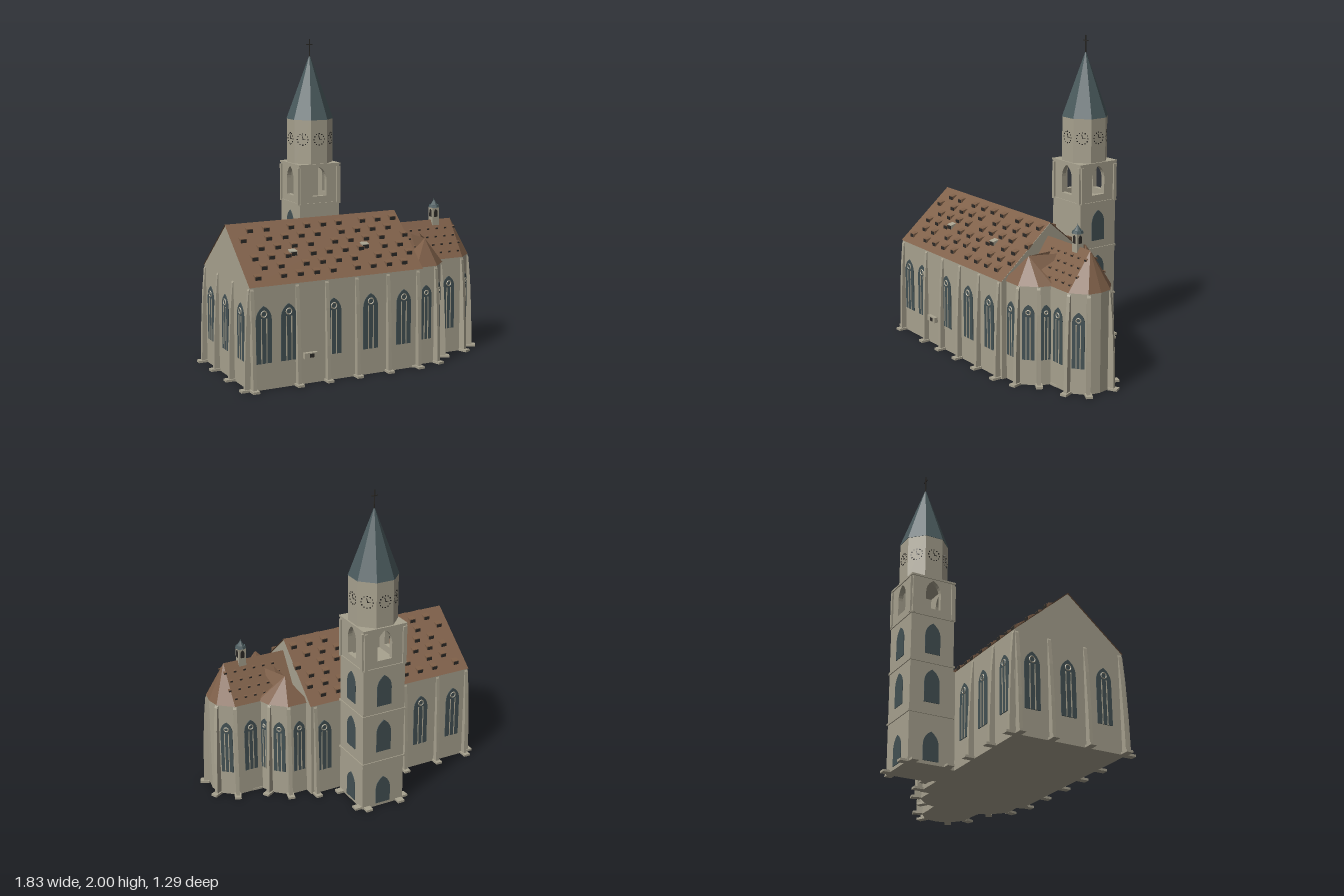
import * as THREE from 'three';

const mat = (name, color) => {
  const m = new THREE.MeshStandardMaterial({ color, flatShading: true, side: THREE.DoubleSide });
  m.name = name;
  return m;
};

export function createModel() {
  const stone = mat('stone', 0xa8a28f), tile = mat('brown tile', 0x7f6049);
  const slate = mat('slate', 0x4a5a5d), dark = mat('dark opening', 0x2b2926);
  const glass = mat('window glass', 0x435154);
  const model = new THREE.Group();
  model.name = 'church';
  const church = new THREE.Group();
  church.name = 'building';
  church.rotation.y = THREE.MathUtils.degToRad(10.5);
  model.add(church);

  const add = (name, geo, material, x = 0, y = 0, z = 0, ang = 0, parent = church) => {
    const m = new THREE.Mesh(geo, material);
    m.name = name;
    m.position.set(x, y, z);
    m.rotation.y = ang;
    parent.add(m);
    return m;
  };
  const group = (name, x, y, z, ang, parent = church) => {
    const g = new THREE.Group();
    g.name = name;
    g.position.set(x, y, z);
    g.rotation.y = ang;
    parent.add(g);
    return g;
  };
  const box = (w, h, d) => new THREE.BoxGeometry(w, h, d);
  const poly = pts => new THREE.Shape(pts.map(p => new THREE.Vector2(...p)));
  const extrude = (shape, depth) => new THREE.ExtrudeGeometry(shape, { depth, bevelEnabled: false, curveSegments: 6 });
  // upright prism over a footprint of [x, z] points
  const prism = (pts, h) => extrude(poly(pts.map(([x, z]) => [x, -z])), h).rotateX(-Math.PI / 2);
  // flat polygons, each a list of [x, y, z] corners
  const faces = list => {
    const v = [];
    for (const f of list) for (let i = 1; i < f.length - 1; i++) v.push(...f[0], ...f[i], ...f[i + 1]);
    const g = new THREE.BufferGeometry();
    g.setAttribute('position', new THREE.Float32BufferAttribute(v, 3));
    g.computeVertexNormals();
    return g;
  };
  const arch = (w, h, y = 0, C = THREE.Shape) => {
    const s = new C();
    s.moveTo(-w / 2, y);
    s.lineTo(w / 2, y);
    s.lineTo(w / 2, y + h - w * 0.85);
    s.quadraticCurveTo(w / 2, y + h - w * 0.3, 0, y + h);
    s.quadraticCurveTo(-w / 2, y + h - w * 0.3, -w / 2, y + h - w * 0.85);
    s.lineTo(-w / 2, y);
    return s;
  };

  // traceried lancet window, facing local +z
  const tracery = (x, z, ang, w = 0.1) => {
    const g = group('window', x, 0.16, z, ang), h = 0.345;
    add('glass', extrude(arch(w, h), 0.005), glass, 0, 0, 0, 0, g);
    for (const s of [-1, 1]) add('mullion', box(0.006, h - 0.075, 0.004), stone, s * w / 6, (h - 0.075) / 2, 0.006, 0, g);
    add('tracery ring', new THREE.TorusGeometry(w * 0.18, 0.004, 4, 12), stone, 0, h - 0.048, 0.006, 0, g);
  };
  // buttress swelling outwards to the foot
  const fin = extrude(poly([[-0.005, 0], [0.036, 0], [0.031, 0.22], [0.02, 0.45], [0.006, 0.6], [-0.005, 0.62]]), 0.022)
    .translate(0, 0, -0.011).rotateY(-Math.PI / 2);
  const buttress = (x, z, ang) => {
    const g = group('buttress', x, 0, z, ang);
    add('fin', fin, stone, 0, 0, 0, 0, g);
    add('foot', box(0.042, 0.014, 0.06), stone, 0, 0.007, 0.03, 0, g);
  };
  // small shed dormer, facing local +z
  const wedge = extrude(poly([[0, -0.004], [0, 0.024], [-0.036, 0.032]]), 0.042).translate(0, 0, -0.021).rotateY(-Math.PI / 2);
  const hatch = box(0.035, 0.02, 0.004);
  const dormer = (x, y, z, ang, scale = 1, body = tile) => {
    const g = group('dormer', x, y, z, ang);
    g.scale.setScalar(scale);
    add('dormer roof', wedge, body, 0, 0, 0, 0, g);
    add('dormer opening', hatch, dark, 0, 0.01, 0.001, 0, g);
  };

  // nave
  const W = -0.82, E = 0.33, mid = 0.085, half = 0.36, eave = 0.62, top = 0.925;
  add('nave', extrude(poly([[-mid - half, 0], [-mid + half, 0], [-mid + half, eave], [-mid, top], [-mid - half, eave]]), E - W)
    .rotateY(Math.PI / 2), stone, W);
  for (const s of [-1, 1]) {
    const ze = mid + s * (half + 0.006);
    add('nave roof', faces([[[W - 0.004, eave, ze], [E + 0.004, eave, ze], [E + 0.004, top + 0.007, mid], [W - 0.004, top + 0.007, mid]]]), tile);
    for (let r = 0; r < 6; r++) for (let c = 0; c < 9; c++) {
      const t = 0.1 + r * 0.148, x = W + 0.09 + c * 0.122 + (r % 2) * 0.05 + ((c * 7 + r * 5) % 4 - 1.5) * 0.014;
      dormer(x, eave + t * 0.31, mid + s * (1 - t) * half + s * 0.003, s > 0 ? 0 : Math.PI);
    }
  }
  for (const x of [-0.47, 0.015]) dormer(x, 0.75, 0.3, 0, 1.1, stone);
  for (const x of [-0.735, -0.575, -0.28, -0.03, 0.2]) tracery(x, mid + half, 0);
  for (const x of [-0.71, -0.465, -0.24, 0.24]) tracery(x, mid - half, Math.PI);
  for (const z of [-0.165, 0.07, 0.31]) tracery(W, z, -Math.PI / 2);
  for (const x of [W + 0.012, -0.52, -0.325, -0.125, 0.09, 0.3]) buttress(x, mid + half, 0);
  for (const x of [W + 0.012, -0.588, -0.345, 0.3]) buttress(x, mid - half, Math.PI);
  for (const z of [mid - half + 0.015, -0.05, 0.19, mid + half - 0.015]) buttress(W, z, -Math.PI / 2);
  add('wall tablet', box(0.085, 0.035, 0.03), stone, -0.44, 0.175, mid + half + 0.01);
  add('tablet opening', box(0.03, 0.022, 0.004), dark, -0.435, 0.175, mid + half + 0.026);

  // choir with polygonal apse
  const cz = 0.1, ridge = 0.85;
  const apse = [[0.33, -0.055], [0.54, -0.055], [0.74, -0.055], [0.83, 0.02], [0.845, 0.1],
    [0.83, 0.18], [0.74, 0.255], [0.54, 0.255], [0.33, 0.255]];
  add('choir', prism(apse, eave), stone);
  const tip = [0.74, ridge, cz];
  const e = apse.map(([x, z]) => [x, eave, cz + (z - cz) * 1.03]);
  const start = [E, ridge, cz];
  add('choir roof', faces([[start, e[0], e[2], tip], [tip, e[2], e[3]], [tip, e[3], e[4]], [tip, e[4], e[5]],
    [tip, e[5], e[6]], [tip, e[6], e[8], start]]), tile);
  for (const s of [-1, 1]) for (let r = 0; r < 4; r++) for (let c = 0; c < 6; c++) {
    const t = 0.15 + r * 0.2;
    dormer(0.4 + c * 0.064 + (r % 2) * 0.025, eave + t * 0.23, cz + s * ((1 - t) * 0.16 + 0.002), s > 0 ? 0 : Math.PI, 0.45);
  }
  // window in the middle of each wall, buttress at each corner
  const dress = (pts, ox, oz, from, to, w) => {
    for (let i = from; i < to; i++) {
      const [a, b] = [pts[i], pts[i + 1]];
      const mx = (a[0] + b[0]) / 2, mz = (a[1] + b[1]) / 2;
      let nx = b[1] - a[1], nz = a[0] - b[0];
      if (nx * (mx - ox) + nz * (mz - oz) < 0) { nx = -nx; nz = -nz; }
      tracery(mx, mz, Math.atan2(nx, nz), Math.min(w, Math.hypot(nx, nz) * 0.65));
    }
    for (let i = from; i <= to; i++) buttress(...pts[i], Math.atan2(pts[i][0] - ox, pts[i][1] - oz));
  };
  dress(apse.filter((p, i) => i !== 4), 0.68, cz, 1, 6, 0.085);

  // side chapels, mirrored about the choir axis
  for (const s of [-1, 1]) {
    const pts = [[0.31, 0.31], [0.45, 0.31], [0.54, 0.225], [0.57, 0.14]].map(([x, d]) => [x, cz + s * d]);
    const foot = [...pts, [0.57, cz + s * 0.12], [0.31, cz + s * 0.12]];
    add('side chapel', prism(foot, eave), stone);
    const peak = [0.425, 0.78, cz + s * 0.215];
    const ee = foot.map(([x, z]) => [x + (x > 0.4 ? 0.006 : 0), eave, z + s * 0.006]);
    add('chapel roof', faces(ee.map((p, i) => [peak, p, ee[(i + 1) % ee.length]])), tile);
    add('chapel roof saddle', faces([[peak, ee[1], [0.5, 0.78, cz]], [peak, [0.42, 0.78, cz], [0.42, eave, cz + s * 0.16]]]), tile);
    dress(pts, 0.41, cz + s * 0.15, 0, 3, 0.075);
  }

  // ridge turret
  const turret = group('ridge turret', 0.62, 0, cz, 0);
  add('turret shaft', box(0.048, 0.13, 0.048), stone, 0, 0.865, 0, 0, turret);
  for (let i = 0; i < 4; i++) {
    const side = group('turret side', 0, 0, 0, i * Math.PI / 2, turret);
    add('turret opening', extrude(arch(0.024, 0.05), 0.003), dark, 0, 0.87, 0.024, 0, side);
  }
  add('turret eave', new THREE.CylinderGeometry(0.03, 0.036, 0.016, 8), slate, 0, 0.938, 0, 0, turret);
  add('turret cap', new THREE.ConeGeometry(0.026, 0.04, 8), slate, 0, 0.962, 0, 0, turret);
  add('turret finial', new THREE.CylinderGeometry(0.002, 0.003, 0.02, 5), slate, 0, 0.978, 0, 0, turret);

  // tower
  const S = 0.286, tower = group('tower', -0.004, 0, -0.445, 0);
  add('tower shaft', box(S, 0.94, S), stone, 0, 0.47, 0, 0, tower);
  add('tower link', box(S * 0.8, 0.62, 0.05), stone, 0, 0.31, S / 2 + 0.01, 0, tower);
  for (const y of [0.31, 0.635, 0.94, 1.195]) add('string course', box(S + 0.012, 0.012, S + 0.012), stone, 0, y, 0, 0, tower);
  const belfry = poly([[-S / 2, 0.94], [S / 2, 0.94], [S / 2, 1.2], [-S / 2, 1.2]]);
  belfry.holes.push(arch(0.1, 0.19, 0.99, THREE.Path));
  const belfryWall = extrude(belfry, 0.03).translate(0, 0, S / 2 - 0.03);
  for (let i = 0; i < 4; i++) {
    const side = group('tower side', 0, 0, 0, i * Math.PI / 2, tower);
    add('belfry wall', belfryWall, stone, 0, 0, 0, 0, side);
    for (const s of [-1, 1]) {
      add('corner strip', box(0.02, 0.24, 0.014), stone, s * (S / 2 - 0.012), 1.06, S / 2 + 0.004, 0, side);
      if (i) add('tower foot', box(0.045, 0.014, 0.05), stone, s * (S / 2 - 0.03), 0.007, S / 2 + 0.018, 0, side);
    }
    if (i) for (const [y, h] of [[0.02, 0.18], [0.38, 0.21], [0.69, 0.2]])
      add('tower window', extrude(arch(0.1, h), 0.004), glass, 0, y, S / 2, 0, side);
  }

  // octagon with a clock on every face
  const R = 0.15, flat = R * Math.cos(Math.PI / 8);
  add('octagon', new THREE.CylinderGeometry(R, R, 0.29, 8), stone, 0, 1.342, 0, Math.PI / 8, tower);
  const dot = box(0.007, 0.007, 0.003);
  for (let i = 0; i < 8; i++) {
    const clock = group('clock', Math.sin(i * Math.PI / 4) * flat, 1.36, Math.cos(i * Math.PI / 4) * flat, i * Math.PI / 4, tower);
    for (let k = 0; k < 12; k++)
      add('hour mark', dot, dark, 0.037 * Math.sin(k * Math.PI / 6), 0.037 * Math.cos(k * Math.PI / 6), 0.001, 0, clock);
    add('hour hand', box(0.02, 0.004, 0.003), dark, 0.009, 0, 0.001, 0, clock);
    add('minute hand', box(0.004, 0.028, 0.003), dark, 0, 0.012, 0.001, 0, clock).rotation.z = 0.35;
  }

  // spire and cross
  add('spire', new THREE.ConeGeometry(R + 0.003, 0.415, 8), slate, 0, 1.6925, 0, Math.PI / 8, tower);
  add('cross post', box(0.006, 0.115, 0.006), dark, 0, 1.9425, 0, 0, tower);
  add('cross arm', box(0.044, 0.006, 0.006), dark, 0, 1.965, 0, 0, tower);
  return model;
}
